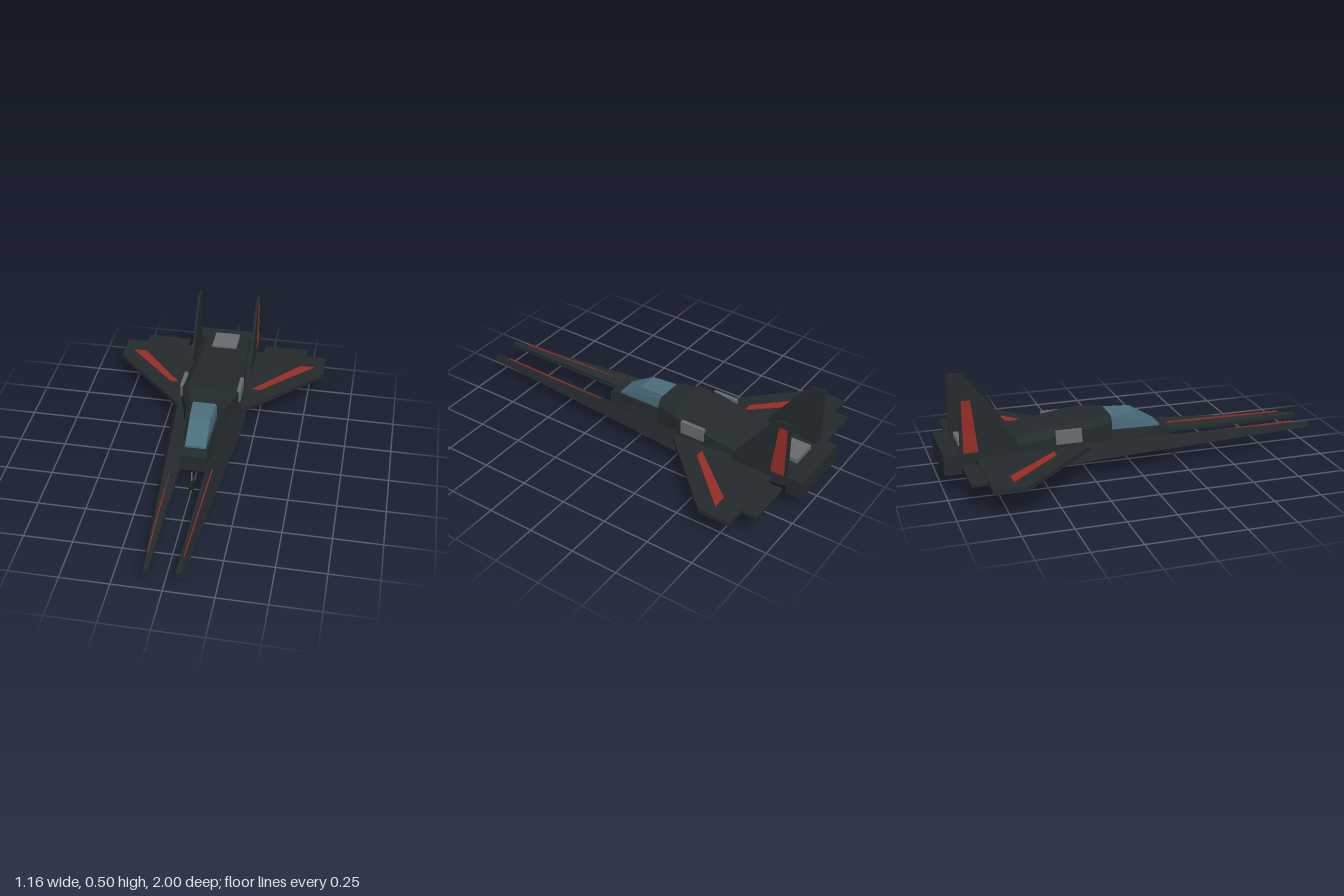
import * as THREE from 'three';

const mat = (color) => new THREE.MeshStandardMaterial({ color, flatShading: true });

// Skin a row of convex cross-sections [z, [[x, y], ...]], listed front to back,
// with corners running anticlockwise as seen from the front.
function loft(sections) {
  const rings = sections.map(([z, pts]) => pts.map(([x, y]) => [x, y, z]));
  const n = rings[0].length;
  const pos = [];
  const tri = (a, b, c) => pos.push(...a, ...b, ...c);
  for (let s = 0; s < rings.length - 1; s++) {
    for (let i = 0; i < n; i++) {
      const j = (i + 1) % n, f = rings[s], b = rings[s + 1];
      tri(f[i], b[i], b[j]);
      tri(f[i], b[j], f[j]);
    }
  }
  const first = rings[0], last = rings[rings.length - 1];
  for (let i = 1; i < n - 1; i++) {
    tri(first[0], first[i], first[i + 1]);
    tri(last[0], last[i + 1], last[i]);
  }
  const g = new THREE.BufferGeometry();
  g.setAttribute('position', new THREE.Float32BufferAttribute(pos, 3));
  g.computeVertexNormals();
  return g;
}

// Symmetric six-sided section: bottom, shoulder and roof half widths and heights
const hex = (z, wb, yb, wm, ym, wt, yt) =>
  [z, [[-wb, yb], [wb, yb], [wm, ym], [wt, yt], [-wt, yt], [-wm, ym]]];

const mirrorSections = (sections, side) => side > 0 ? sections
  : sections.map(([z, pts]) => [z, pts.map(([x, y]) => [-x, y]).reverse()]);

// Horizontal plate from an outline of [x, z], between heights y0 and y1
function plate(outline, y0, y1, side) {
  const shape = new THREE.Shape(outline.map(([x, z]) => new THREE.Vector2(x * side, -z)));
  return new THREE.ExtrudeGeometry(shape, { depth: y1 - y0, bevelEnabled: false })
    .rotateX(-Math.PI / 2).translate(0, y0, 0);
}

// Upright plate from an outline of [z, y], between x0 and x1
function upright(outline, x0, x1) {
  const shape = new THREE.Shape(outline.map(([z, y]) => new THREE.Vector2(-z, y)));
  return new THREE.ExtrudeGeometry(shape, { depth: x1 - x0, bevelEnabled: false })
    .rotateY(Math.PI / 2).translate(x0, 0, 0);
}

const box = (w, h, d, x, y, z) => new THREE.BoxGeometry(w, h, d).translate(x, y, z);

export function createModel() {
  const root = new THREE.Group();
  const hull = mat(0x242b2d), red = mat(0x962d26), glass = mat(0x4a6d7d);
  const grey = mat(0x666b6b), dark = mat(0x1c2021);
  const add = (name, geometry, material) => {
    const m = new THREE.Mesh(geometry, material);
    m.name = name;
    root.add(m);
    return m;
  };

  // Nose and cockpit tub
  add('nose', loft([
    hex(0.21, 0.068, 0.087, 0.068, 0.13, 0.066, 0.18),
    hex(0.15, 0.073, 0.086, 0.073, 0.13, 0.068, 0.19),
    hex(-0.13, 0.11, 0.078, 0.1, 0.13, 0.075, 0.2),
  ]), hull);

  // Main body with shoulders, sloping down to the tail
  add('fuselage', loft([
    hex(-0.12, 0.11, 0.078, 0.1, 0.25, 0.075, 0.284),
    hex(-0.25, 0.15, 0.073, 0.145, 0.25, 0.112, 0.287),
    hex(-0.33, 0.16, 0.07, 0.16, 0.25, 0.117, 0.278),
    hex(-0.5, 0.16, 0.079, 0.155, 0.22, 0.117, 0.252),
    hex(-0.63, 0.15, 0.086, 0.15, 0.2, 0.115, 0.235),
    hex(-0.92, 0.13, 0.1, 0.13, 0.18, 0.12, 0.205),
  ]), hull);
  add('engineBlock', box(0.36, 0.1, 0.085, 0, 0.15, -0.957), hull);
  add('topHatch', box(0.14, 0.03, 0.145, 0, 0.216, -0.837), grey).name = 'topHatch';

  // Canopy: sloping windscreen and faceted sides
  add('canopy', loft([
    hex(0.15, 0.055, 0.18, 0.055, 0.195, 0.053, 0.202),
    hex(0.02, 0.06, 0.18, 0.06, 0.235, 0.055, 0.28),
    hex(-0.122, 0.066, 0.18, 0.068, 0.27, 0.062, 0.286),
  ]), glass);

  for (const side of [1, -1]) {
    const label = side > 0 ? 'left' : 'right';

    // Long forward prong with a sloping top
    add(label + 'Prong', loft(mirrorSections([
      [1, [[0.065, 0.1], [0.096, 0.1], [0.087, 0.125], [0.065, 0.122]]],
      [-0.27, [[0.065, 0.095], [0.203, 0.095], [0.17, 0.183], [0.07, 0.12]]],
      [-0.5, [[0.065, 0.098], [0.18, 0.098], [0.165, 0.176], [0.07, 0.12]]],
    ], side)), hull);
    add(label + 'ProngStripe',
      plate([[0.103, 0.25], [0.109, 0.25], [0.089, 0.9], [0.085, 0.9]], 0.135, 0.143, side), red);

    // Wing, flap and stripe
    add(label + 'Wing', plate([[0.1, -0.2], [0.19, -0.27], [0.582, -0.67], [0.582, -0.84],
      [0.1, -0.84]], 0.145, 0.169, side), hull);
    add(label + 'Flap', box(0.247, 0.016, 0.1, side * 0.347, 0.154, -0.87), hull);
    add(label + 'WingStripe', plate([[0.21, -0.455], [0.255, -0.455], [0.525, -0.73],
      [0.45, -0.73]], 0.167, 0.174, side), red);

    // Tail fin with a red outer panel
    const x = side > 0 ? 0.168 : -0.166;
    add(label + 'Fin', upright([[-0.63, 0.235], [-0.6, 0.15], [-0.915, 0.15],
      [-0.915, 0.503], [-0.835, 0.503]], x, x + 0.013), hull);
    const px = side > 0 ? x + 0.012 : x - 0.002;
    add(label + 'FinPanel', upright([[-0.825, 0.2], [-0.9, 0.2], [-0.9, 0.47],
      [-0.855, 0.47]], px, px + 0.003), red);

    // Side hatch on the shoulder
    add(label + 'SideHatch', box(0.02, 0.07, 0.135, side * 0.156, 0.224, -0.365), grey);
  }

  // Landing gear: one nose wheel, two main wheels
  for (const [name, x, z, top] of [['nose', 0, 0.25, 0.108],
    ['leftMain', 0.125, -0.58, 0.1], ['rightMain', -0.125, -0.58, 0.1]]) {
    add(name + 'Wheel', new THREE.CylinderGeometry(0.028, 0.028, 0.02, 16)
      .rotateZ(Math.PI / 2).translate(x, 0.028, z), dark);
    add(name + 'Strut', new THREE.CylinderGeometry(0.005, 0.005, top - 0.028, 8)
      .translate(x, (top + 0.028) / 2, z), grey);
  }
  return root;
}
